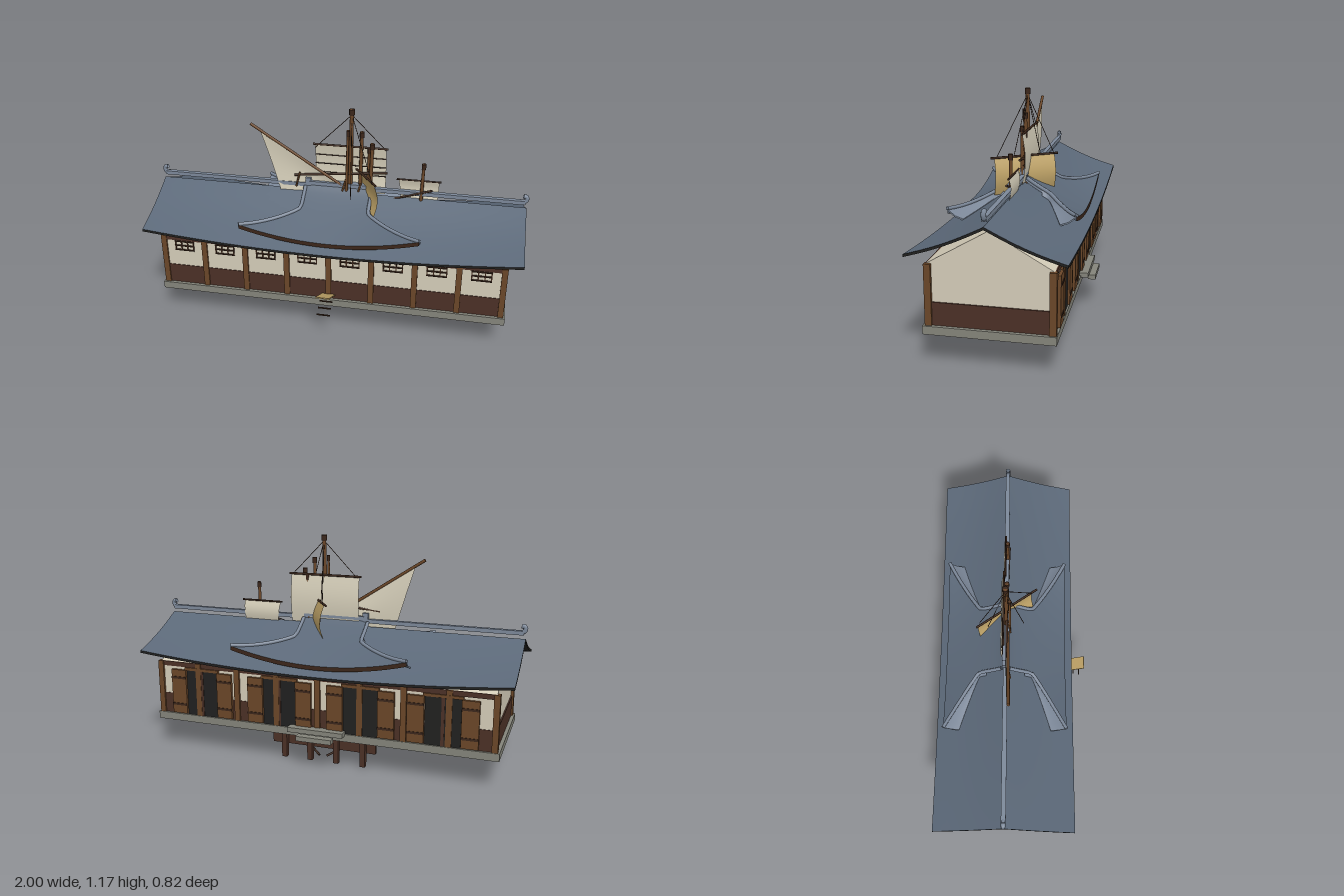
import * as THREE from 'three';

const mat = (name, color, double) => {
  const m = new THREE.MeshStandardMaterial({ color });
  m.name = name;
  if (double) m.side = THREE.DoubleSide;
  return m;
};

export function createModel() {
  const roofBlue = mat('slate roof', 0x5b6878, true);
  const ridgeGrey = mat('ridge grey', 0x7c8899, true);
  const underside = mat('dark underside', 0x20201f, true);
  const stone = mat('stone', 0x84847a);
  const plaster = mat('plaster', 0xd4ccb8);
  const wainscotBrown = mat('wainscot brown', 0x4b3026);
  const timber = mat('timber', 0x6a4628);
  const darkWood = mat('dark wood', 0x3b261a);
  const canvas = mat('sail canvas', 0xd6cfba, true);
  const tan = mat('tan cloth', 0xc0a468, true);

  const root = new THREE.Group();
  const CZ = -0.035; // ridge line in z
  const V = (x, y, z) => new THREE.Vector3(x, y, z);

  const add = (name, geo, m, parent = root) => {
    const mesh = new THREE.Mesh(geo, m);
    mesh.name = name;
    parent.add(mesh);
    return mesh;
  };
  // box given by its min and max corners
  const box = (name, m, x0, x1, y0, y1, z0, z1, parent) => {
    const b = add(name, new THREE.BoxGeometry(x1 - x0, y1 - y0, z1 - z0), m, parent);
    b.position.set((x0 + x1) / 2, (y0 + y1) / 2, (z0 + z1) / 2);
    return b;
  };
  // round pole between two points
  const pole = (name, m, a, b, r0, r1 = r0, sides = 8) => {
    const p = add(name, new THREE.CylinderGeometry(r1, r0, a.distanceTo(b), sides), m);
    p.position.copy(a).lerp(b, 0.5);
    p.quaternion.setFromUnitVectors(V(0, 1, 0), b.clone().sub(a).normalize());
    return p;
  };
  // curved slab: fn(u, v) gives the upper surface, thick its depth
  const slab = (name, fn, thick, nu, nv, mats, parent = root) => {
    const g = new THREE.BoxGeometry(1, 1, 1, nu, 1, nv);
    const p = g.attributes.position;
    for (let i = 0; i < p.count; i++) {
      const q = fn(p.getX(i) + 0.5, p.getZ(i) + 0.5);
      p.setXYZ(i, q.x, q.y - (p.getY(i) < 0 ? thick : 0), q.z);
    }
    g.computeVertexNormals();
    return add(name, g, mats, parent);
  };

  // ---- stone base and walls
  box('stoneBase', stone, -0.93, 0.93, 0.16, 0.2, -0.34, 0.27);
  const section = new THREE.Shape([[-0.25, 0.2], [0.325, 0.2], [0.325, 0.49], [0.035, 0.655], [-0.25, 0.49]]
    .map(([a, b]) => new THREE.Vector2(a, b)));
  const walls = add('plasterWalls', new THREE.ExtrudeGeometry(section, { depth: 1.81, bevelEnabled: false }), plaster);
  walls.rotation.y = Math.PI / 2;
  walls.position.x = -0.905;
  box('wainscot', wainscotBrown, -0.912, 0.912, 0.2, 0.31, -0.328, 0.253);
  for (const z of [0.25, -0.325]) box('topBeam', wainscotBrown, -0.91, 0.91, 0.465, 0.49, z - 0.006, z + 0.006);
  const posts = 9, step = 0.2265;
  for (let i = 0; i < posts; i++) {
    const x = (i - 4) * step;
    const end = i === 0 || i === posts - 1;
    const w = 0.015;
    box('frontPost', timber, x - w, x + w, 0.2, 0.49, end ? 0.228 : 0.24, 0.26);
    box('backPost', timber, x - w, x + w, 0.2, 0.49, -0.337, end ? -0.305 : -0.315);
  }

  // ---- barred windows along the front
  for (let i = 0; i < posts - 1; i++) {
    const x = (i - 3.5) * step;
    for (const y of [0.407, 0.433, 0.458]) box('windowBar', darkWood, x - 0.053, x + 0.053, y - 0.003, y + 0.003, 0.25, 0.257);
    for (const dx of [-0.05, -0.017, 0.017, 0.05]) box('windowBar', darkWood, x + dx - 0.003, x + dx + 0.003, 0.404, 0.461, 0.25, 0.256);
  }

  // ---- four doorways with open leaves along the back
  for (const x of [0.66, 0.21, -0.23, -0.65]) {
    box('doorOpening', underside, x - 0.09, x + 0.09, 0.2, 0.45, -0.332, -0.325);
    box('doorLintel', timber, x - 0.1, x + 0.1, 0.45, 0.465, -0.338, -0.325);
    box('doorMullion', wainscotBrown, x - 0.008, x + 0.008, 0.2, 0.45, -0.335, -0.325);
    for (const s of [-1, 1]) {
      const c = x + s * 0.135;
      box('doorLeaf', timber, c - 0.043, c + 0.043, 0.205, 0.45, -0.342, -0.327);
      for (const y of [0.25, 0.4]) box('doorStrap', darkWood, c - 0.043, c + 0.043, y, y + 0.012, -0.345, -0.34);
    }
  }
  box('upperStep', stone, -0.15, 0.15, 0.19, 0.215, -0.378, -0.33);
  box('lowerStep', stone, -0.1, 0.09, 0.16, 0.185, -0.41, -0.37);

  // ---- main roof, eaves rising toward the ends
  const roofY = (x, d) => {
    const u = d / 0.36;
    return 0.697 - u * (0.193 - 0.05 * (x / 0.99) ** 2) - 0.012 * Math.sin(Math.PI * u);
  };
  const roofMats = [underside, underside, roofBlue, underside, underside, underside];
  for (const s of [0, -1]) {
    slab('mainRoof', (u, v) => {
      const x = (u - 0.5) * 1.98, dz = (v + s) * 0.36;
      return V(x, roofY(x, Math.abs(dz)), CZ + dz);
    }, 0.013, 32, 10, roofMats);
  }

  // ---- ridge beam with upturned ends
  box('ridgeBeam', ridgeGrey, -0.98, 0.98, 0.717, 0.738, CZ - 0.012, CZ + 0.012);
  for (const s of [-1, 1]) {
    const curl = new THREE.CatmullRomCurve3([V(s * 0.95, 0.728, CZ), V(s * 0.982, 0.735, CZ), V(s * 0.985, 0.758, CZ), V(s * 0.968, 0.762, CZ)]);
    add('ridgeCurl', new THREE.TubeGeometry(curl, 10, 0.012, 8), ridgeGrey);
  }

  // ---- flared upper roof
  const flare = new THREE.Group();
  flare.name = 'flaredRoof';
  flare.position.z = CZ;
  root.add(flare);
  const D = 0.32, d0 = 0.135;
  const half = d => 0.18 + 0.29 * Math.max(0, (d - d0) / (D - d0)) ** 1.15;
  const flareY = (x, d) => 0.74 - 0.19 * (d / D) ** 0.8 + 0.065 * (x / 0.47) ** 2 * (d / D);
  const flareMats = [ridgeGrey, ridgeGrey, roofBlue, underside, darkWood, darkWood];
  for (const s of [0, -1]) {
    slab('flaredRoofSlope', (u, v) => {
      const dz = (v + s) * D, d = Math.abs(dz), x = (u * 2 - 1) * half(d);
      return V(x, flareY(x, d), dz);
    }, 0.022, 20, 14, flareMats, flare);
  }
  for (const sx of [-1, 1]) for (const sz of [-1, 1]) {
    const corner = new THREE.Group();
    corner.name = 'flaredCorner';
    corner.scale.set(sx, 1, sz);
    flare.add(corner);
    // side skirt falling to the main roof
    slab('sideSkirt', (u, v) => {
      const d = 0.1 + v * (D - 0.1), x = half(d), t = Math.max(0, (d - d0) / (D - d0));
      const e = d - 0.08 * t * u;
      return V(x + 0.012 * u * (1 - t), flareY(x, d) * (1 - u) + (roofY(x, e) + 0.004) * u, e);
    }, 0.008, 2, 12, ridgeGrey, corner);
    // hip rib along the edge
    const pts = [];
    for (let i = 0; i <= 10; i++) {
      const d = 0.02 + (D - 0.02) * i / 10, x = half(d);
      pts.push(V(x, flareY(x, d) + 0.004, d));
    }
    add('hipRib', new THREE.TubeGeometry(new THREE.CatmullRomCurve3(pts), 20, 0.01, 6), ridgeGrey, corner);
  }
  box('upperRidge', ridgeGrey, -0.18, 0.18, 0.732, 0.752, -0.018, 0.018, flare);
  for (const s of [-1, 1]) box('upperRidgeEnd', ridgeGrey, s * 0.165 - 0.015, s * 0.165 + 0.015, 0.725, 0.77, -0.016, 0.016, flare);

  // ---- masts through the roof
  for (const [x, top, r, z] of [[0.068, 1.17, 0.013, CZ], [0.052, 1.06, 0.008, -0.015], [0.122, 1.05, 0.011, -0.035],
    [0.178, 0.99, 0.011, -0.03], [0.16, 0.96, 0.008, -0.045], [0.45, 0.9, 0.01, -0.03]]) {
    pole('mast', timber, V(x - 0.01, 0.6, z), V(x, top, z), r, r * 0.8);
    pole('mastCap', darkWood, V(x, top - 0.03, z), V(x, top, z), r * 1.15);
  }

  // ---- sails: four corners with a slight belly
  const sail = (name, m, c, belly) => slab(name, (u, v) => {
    const top = c[0].clone().lerp(c[1], u), low = c[3].clone().lerp(c[2], u);
    return top.lerp(low, v).addScaledVector(belly, Math.sin(Math.PI * v));
  }, 0.0005, 8, 8, m);
  sail('squareSail', canvas, [V(-0.13, 0.955, -0.045), V(0.25, 0.955, -0.045), V(0.25, 0.7, -0.045), V(-0.13, 0.7, -0.045)], V(0, 0, -0.015));
  pole('squareYard', darkWood, V(-0.14, 0.96, -0.045), V(0.26, 0.96, -0.045), 0.006);
  for (const y of [0.9, 0.85, 0.8]) pole('sailBatten', darkWood, V(-0.13, y, -0.05), V(0.25, y, -0.05), 0.003);
  sail('smallSail', canvas, [V(0.32, 0.795, -0.04), V(0.535, 0.795, -0.04), V(0.53, 0.69, -0.04), V(0.335, 0.69, -0.04)], V(0, 0, -0.01));
  pole('smallYard', darkWood, V(0.31, 0.798, -0.04), V(0.545, 0.798, -0.04), 0.005);
  pole('smallBoom', darkWood, V(0.28, 0.68, -0.03), V(0.5, 0.755, -0.02), 0.006);
  sail('lateenSail', canvas, [V(-0.42, 1.02, -0.02), V(0.02, 0.735, -0.025), V(-0.05, 0.69, -0.03), V(-0.32, 0.69, -0.02)], V(0, 0, -0.008));
  pole('lateenYard', timber, V(-0.47, 1.06, -0.015), V(0.05, 0.72, -0.025), 0.008);
  sail('crossSail', tan, [V(0.02, 0.822, -0.17), V(0.21, 0.822, 0.11), V(0.21, 0.63, 0.11), V(0.02, 0.63, -0.17)], V(0.02, 0, -0.012));
  pole('crossYard', darkWood, V(0.005, 0.825, -0.185), V(0.222, 0.825, 0.125), 0.006);
  pole('lowYard', darkWood, V(-0.24, 0.78, -0.025), V(0.26, 0.83, -0.035), 0.007);
  for (const [x, y] of [[-0.23, 0.74], [0.02, 0.72], [0.1, 0.7]]) pole('brokenSpar', timber, V(x, y - 0.02, -0.01), V(x + 0.02, y + 0.06, -0.02), 0.005);

  // ---- rigging
  for (const [x, y, z] of [[-0.13, 0.94, -0.045], [0.25, 0.95, -0.045], [0.03, 0.825, -0.17], [0.2, 0.825, 0.1], [0.08, 0.7, 0.06], [0.06, 0.7, -0.13]]) {
    pole('stay', darkWood, V(0.068, 1.14, CZ), V(x, y, z), 0.0018, 0.0018, 4);
  }

  // ---- hull bottom and supports under the base
  slab('hullBottom', (u, v) => {
    const w = 0.13 * (1 - 0.45 * Math.abs(2 * u - 1) ** 3);
    return V(-0.6 + 1.15 * u, 0.162, CZ + (2 * v - 1) * w);
  }, 0.028, 12, 2, wainscotBrown);
  box('hullPlate', stone, -0.12, 0.15, 0.118, 0.14, -0.13, 0.06);
  box('sternBlock', timber, -0.59, -0.555, 0.085, 0.16, -0.08, 0.01);
  pole('rudder', darkWood, V(-0.61, 0.07, 0.06), V(-0.59, 0.16, 0.06), 0.008);
  box('keelBlock', timber, -0.28, 0.28, 0.068, 0.12, -0.08, 0.01);
  box('pierBeam', wainscotBrown, -0.285, 0.29, 0.068, 0.16, -0.237, -0.215);
  for (const x of [-0.222, -0.075, 0.07, 0.215]) box('pierPost', wainscotBrown, x - 0.014, x + 0.014, 0, 0.16, -0.265, -0.237);
  for (const s of [-1, 1]) pole('pierBrace', darkWood, V(s * 0.1, 0.07, -0.2), V(s * 0.02, 0.03, -0.25), 0.006);

  // ---- raised plank and rungs at the front
  const plank = box('plank', tan, -0.036, 0.036, 0.258, 0.264, 0.25, 0.425);
  plank.rotation.x = -0.46;
  plank.position.set(0, 0.262, 0.333);
  for (const [y, z] of [[0.183, 0.39], [0.202, 0.355], [0.22, 0.318]]) box('rung', darkWood, -0.035, 0.035, y - 0.003, y + 0.003, z - 0.003, z + 0.003);

  return root;
}
